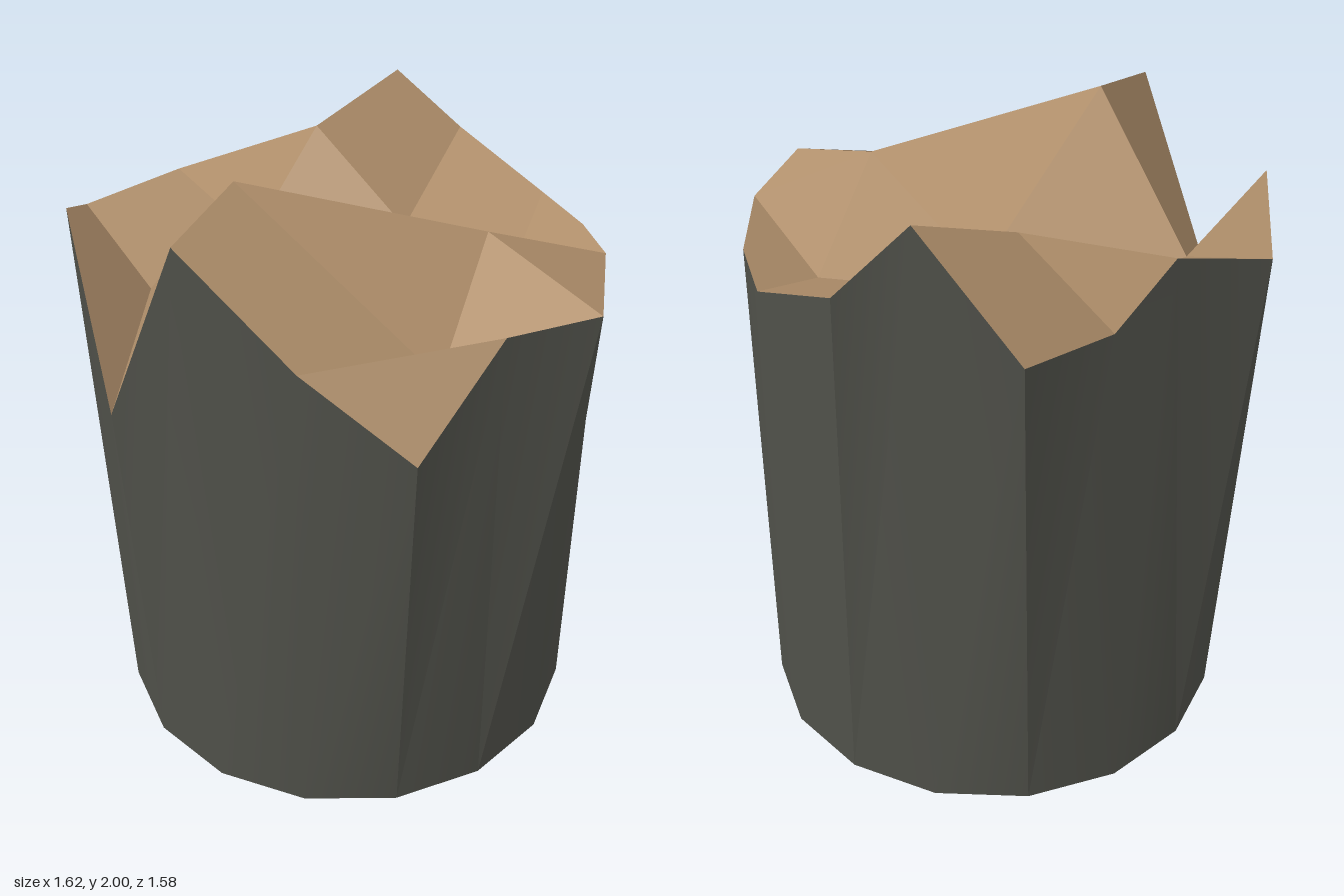
import * as THREE from 'three';
import { toCreasedNormals } from 'three/addons/utils/BufferGeometryUtils.js';

// Broken top: 5 x 5 control points whose border is the 16-point jagged rim
const TOP = [
  [[0.06, 1.58, -0.79], [0.34, 1.95, -0.64], [0.56, 1.74, -0.61], [0.76, 1.62, -0.29], [0.80, 1.63, -0.01]],
  [[-0.23, 1.56, -0.59], [0.03, 1.84, -0.48], [0.27, 1.57, -0.23], [0.58, 1.52, -0.01], [0.76, 1.68, 0.29]],
  [[-0.43, 1.73, -0.48], [-0.22, 1.56, -0.29], [0.08, 1.53, -0.06], [0.38, 1.80, 0.31], [0.61, 1.69, 0.67]],
  [[-0.74, 1.67, -0.40], [-0.58, 1.53, -0.05], [-0.35, 2.00, 0.25], [0.15, 1.54, 0.66], [0.33, 1.66, 0.68]],
  [[-0.81, 1.815, -0.07], [-0.75, 1.33, 0.33], [-0.56, 1.95, 0.52], [-0.26, 1.62, 0.69], [0.06, 1.335, 0.785]],
];
const SIDES = 16;

function buildGeometry(positions, index, normals) {
  const geo = new THREE.BufferGeometry();
  geo.setAttribute('position', new THREE.Float32BufferAttribute(positions, 3));
  if (normals) geo.setAttribute('normal', new THREE.Float32BufferAttribute(normals, 3));
  geo.setIndex(index);
  return geo;
}

// Walk round the border of the control grid, starting at the back
function rimPoints() {
  const rim = [];
  for (let i = 0; i < 4; i++) rim.push(TOP[0][i]);
  for (let i = 0; i < 4; i++) rim.push(TOP[i][4]);
  for (let i = 4; i > 0; i--) rim.push(TOP[4][i]);
  for (let i = 4; i > 0; i--) rim.push(TOP[i][0]);
  return rim;
}

// Round foot on the ground
function footPoint(k) {
  const a = -Math.PI / 2 + (k / SIDES) * Math.PI * 2;
  return [0.035 + 0.77 * Math.cos(a), 0, -0.007 + 0.77 * Math.sin(a)];
}

// Bark wall from the round foot up to the jagged rim
function barkGeometry() {
  const positions = [], index = [];
  rimPoints().forEach((p, k) => positions.push(...footPoint(k), ...p));
  for (let k = 0; k < SIDES; k++) {
    const b = 2 * k, t = b + 1;
    const b2 = 2 * ((k + 1) % SIDES), t2 = b2 + 1;
    index.push(b2, b, t, b2, t, t2);
  }
  return toCreasedNormals(buildGeometry(positions, index), 0.52);
}

// Flat underside
function undersideGeometry() {
  const positions = [], index = [], normals = [];
  for (let k = 0; k < SIDES; k++) {
    positions.push(...footPoint(k));
    normals.push(0, -1, 0);
    if (k > 1) index.push(0, k - 1, k);
  }
  return buildGeometry(positions, index, normals);
}

// Splintered wood: each facet has four corners sharing one normal
function woodGeometry() {
  const positions = [], index = [], normals = [];
  for (let r = 0; r < 4; r++) {
    for (let c = 0; c < 4; c++) {
      const quad = [TOP[r][c], TOP[r + 1][c], TOP[r + 1][c + 1], TOP[r][c + 1]];
      const [p0, p1, p2, p3] = quad.map((p) => new THREE.Vector3(...p));
      const n = p2.sub(p0).cross(p3.sub(p1)).normalize();
      const o = positions.length / 3;
      for (const p of quad) {
        positions.push(...p);
        normals.push(n.x, n.y, n.z);
      }
      index.push(o, o + 1, o + 3, o + 1, o + 2, o + 3);
    }
  }
  return buildGeometry(positions, index, normals);
}

export function createModel() {
  const bark = new THREE.MeshStandardMaterial({ color: 0x50514a });
  bark.name = 'dark bark';
  const wood = new THREE.MeshStandardMaterial({ color: 0xb08f6b });
  wood.name = 'bare wood';
  bark.side = wood.side = THREE.DoubleSide;

  const stump = new THREE.Group();
  stump.name = 'treeStump';
  const add = (name, geometry, material) => {
    const mesh = new THREE.Mesh(geometry, material);
    mesh.name = name;
    stump.add(mesh);
  };
  add('bark', barkGeometry(), bark);
  add('underside', undersideGeometry(), bark);
  add('brokenTop', woodGeometry(), wood);
  return stump;
}
